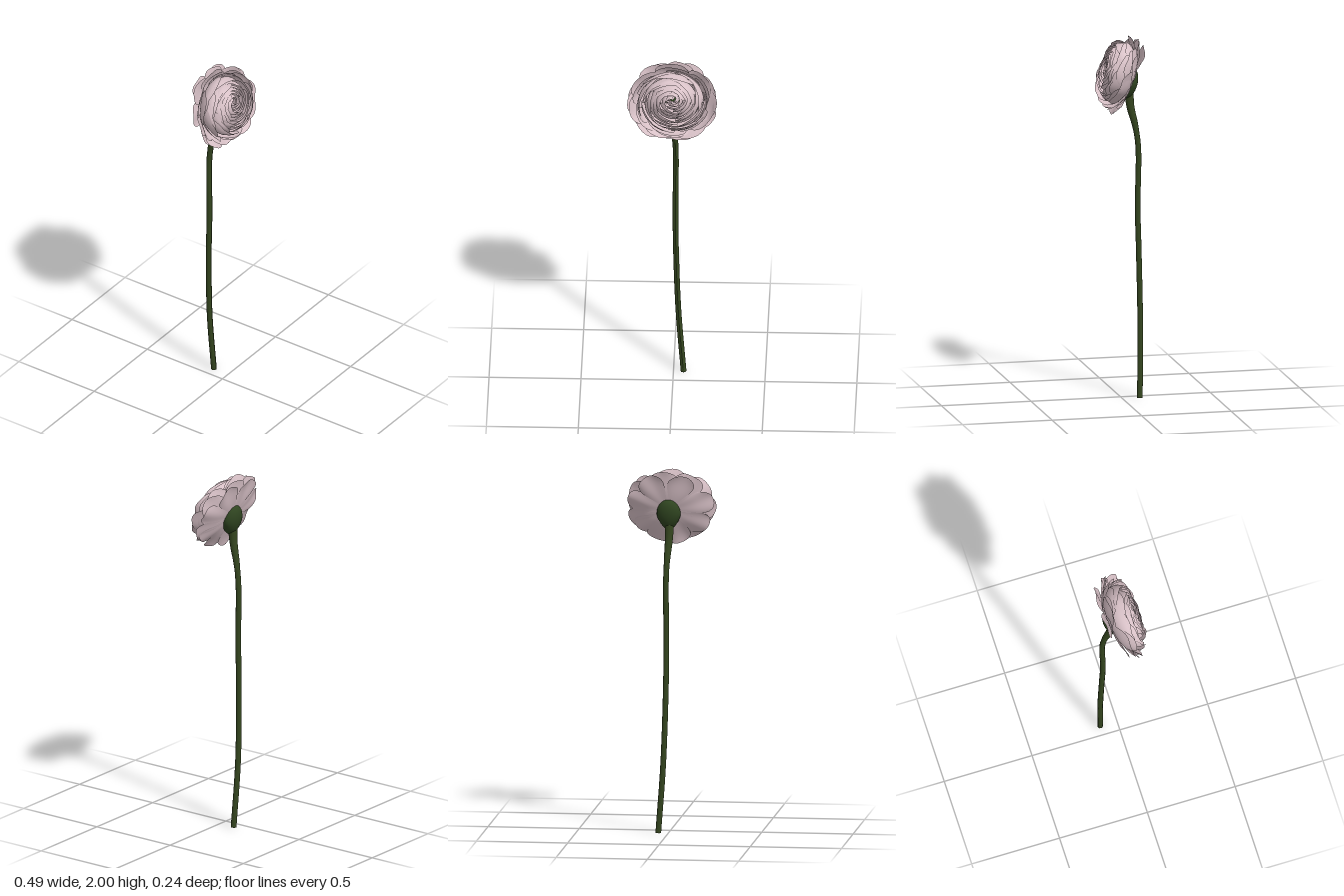
import * as THREE from 'three';

const petalMat = new THREE.MeshStandardMaterial({ color: 0xd8c1c7, side: THREE.DoubleSide });
petalMat.name = 'palePink';
const stemMat = new THREE.MeshStandardMaterial({ color: 0x34451f });
stemMat.name = 'stemGreen';
const calyxMat = new THREE.MeshStandardMaterial({ color: 0x2f4420 });
calyxMat.name = 'calyxGreen';

// small seeded random, returns -1..1
let seed = 7;
function jitter() {
  seed = (seed * 16807) % 2147483647;
  return (seed / 2147483647) * 2 - 1;
}

// one curved petal: a profile swept over an angle, with a rounded, ruffled tip
function petalGeometry(angle, rTip, zTip, rBulge, zBulge, halfSpan) {
  const curve = new THREE.CubicBezierCurve(
    new THREE.Vector2(0.012, -0.05),
    new THREE.Vector2(rBulge * 0.8, -0.055),
    new THREE.Vector2(rBulge, zBulge),
    new THREE.Vector2(rTip, zTip)
  );
  const phase = jitter() * 3;
  const outer = Math.min(1, rTip / 0.2);
  const geo = new THREE.PlaneGeometry(2, 1, 16, 12);
  const pos = geo.attributes.position;
  for (let i = 0; i < pos.count; i++) {
    const u = pos.getX(i);
    const v = pos.getY(i) + 0.5;
    const p = curve.getPoint(v * (1 - (0.07 + 0.1 * outer) * Math.abs(u) ** 3));
    const a = angle + u * halfSpan * (0.8 + 0.25 * v - 0.25 * v ** 5);
    const ruffle = Math.sin(u * 4 + phase) * 0.006 * v * v * outer;
    const r = p.x + 0.008 * u * v;
    pos.setXYZ(i, r * Math.cos(a), r * Math.sin(a), p.y + ruffle);
  }
  geo.computeVertexNormals();
  return geo;
}

// rings from the heart outwards: count, tip radius, tip height, bulge radius, bulge height, half span
const rings = [
  [3, 0.010, 0.094, 0.030, 0.095, 1.3],
  [3, 0.020, 0.098, 0.046, 0.096, 1.2],
  [4, 0.034, 0.100, 0.066, 0.094, 1.1],
  [4, 0.048, 0.100, 0.086, 0.090, 1.0],
  [5, 0.062, 0.098, 0.104, 0.084, 0.95],
  [5, 0.078, 0.095, 0.122, 0.077, 0.9],
  [5, 0.094, 0.091, 0.138, 0.069, 0.9],
  [6, 0.110, 0.086, 0.152, 0.060, 0.8],
  [6, 0.126, 0.080, 0.166, 0.050, 0.8],
  [6, 0.142, 0.074, 0.176, 0.040, 0.75],
  [6, 0.157, 0.066, 0.184, 0.026, 0.7],
  [6, 0.176, 0.053, 0.182, 0.008, 0.65],
  [6, 0.195, 0.036, 0.176, -0.010, 0.62],
  [7, 0.210, 0.016, 0.166, -0.020, 0.55],
  [7, 0.219, -0.008, 0.156, -0.028, 0.5],
  [7, 0.216, -0.034, 0.146, -0.036, 0.45]
];

function buildHead() {
  const head = new THREE.Group();
  head.name = 'flowerHead';
  rings.forEach(([n, rTip, zTip, rBulge, zBulge, span], k) => {
    const ring = new THREE.Group();
    ring.name = 'petalRing' + (k + 1);
    const outer = Math.min(1, rTip / 0.2);
    for (let i = 0; i < n; i++) {
      const a = (i / n) * Math.PI * 2 + k * 2.4 + jitter() * 0.1;
      // petals at the sides reach further forward
      const lift = (0.022 * Math.cos(a) ** 2 + 0.012 * jitter()) * outer ** 2;
      const size = 1 + jitter() * 0.035;
      const mesh = new THREE.Mesh(
        petalGeometry(a, rTip * size, zTip + lift, rBulge * size, zBulge, span), petalMat);
      mesh.name = 'petal';
      ring.add(mesh);
    }
    // the heart sits a little above the middle
    ring.position.y = 0.022 * (1 - outer);
    head.add(ring);
  });
  head.position.set(0, 1.79, 0);
  head.rotation.x = -0.37;
  head.scale.x = 1.12;
  return head;
}

function buildStem() {
  const stem = new THREE.Group();
  stem.name = 'stem';
  const path = new THREE.CatmullRomCurve3([
    [0.055, 0, -0.095], [0.027, 0.38, -0.104], [0.013, 0.8, -0.099], [0.011, 1.05, -0.093],
    [0.013, 1.38, -0.096], [0.009, 1.5, -0.081], [0.002, 1.61, -0.055], [0, 1.72, -0.045]
  ].map(p => new THREE.Vector3(...p)));
  const geo = new THREE.TubeGeometry(path, 64, 0.0155, 12);
  // swell towards the flower
  const pos = geo.attributes.position;
  const c = new THREE.Vector3();
  const p = new THREE.Vector3();
  for (let i = 0; i < pos.count; i++) {
    const t = Math.floor(i / 13) / 64;
    path.getPointAt(t, c);
    p.fromBufferAttribute(pos, i).sub(c).multiplyScalar(1 + 0.7 * Math.max(0, (t - 0.85) / 0.15));
    pos.setXYZ(i, c.x + p.x, c.y + p.y, c.z + p.z);
  }
  geo.computeVertexNormals();
  const shaft = new THREE.Mesh(geo, stemMat);
  shaft.name = 'stemShaft';
  const cut = new THREE.Mesh(new THREE.CircleGeometry(0.0155, 12), stemMat);
  cut.name = 'stemCut';
  cut.rotation.x = Math.PI / 2;
  cut.position.set(0.055, 0, -0.095);
  stem.add(shaft, cut);
  return stem;
}

// green cup behind the petals, narrowing down to the stem
function buildCalyx() {
  const geo = new THREE.SphereGeometry(1, 24, 16);
  const pos = geo.attributes.position;
  for (let i = 0; i < pos.count; i++) {
    const y = pos.getY(i);
    const taper = y < 0 ? 1 + 0.3 * y : 1;
    pos.setXYZ(i, pos.getX(i) * 0.066 * taper, y * 0.088, pos.getZ(i) * 0.046);
  }
  geo.computeVertexNormals();
  const calyx = new THREE.Mesh(geo, calyxMat);
  calyx.name = 'calyx';
  calyx.position.set(0.004, 1.745, -0.046);
  calyx.rotation.x = -0.25;
  return calyx;
}

export function createModel() {
  seed = 7;
  const flower = new THREE.Group();
  flower.name = 'flower';
  flower.add(buildStem(), buildCalyx(), buildHead());
  return flower;
}
